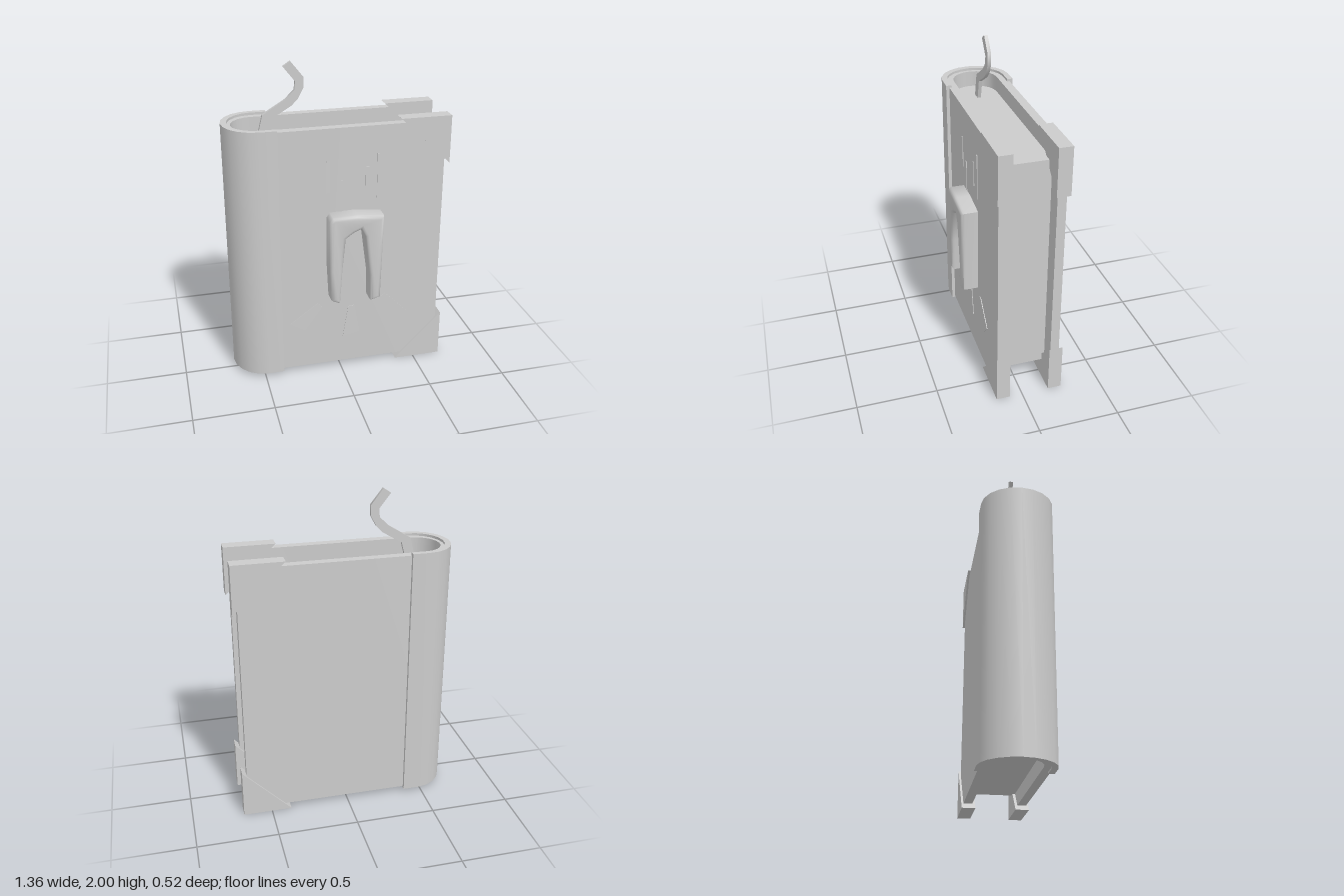
import * as THREE from 'three';
import { toCreasedNormals } from 'three/addons/utils/BufferGeometryUtils.js';

const material = new THREE.MeshStandardMaterial({ color: 0xcccccc });
const midZ = -0.045; // middle of the book's thickness

function addMesh(parent, name, geometry, crease = 0.7) {
  const mesh = new THREE.Mesh(toCreasedNormals(geometry, crease), material);
  mesh.name = name;
  parent.add(mesh);
  return mesh;
}

// Upright plate: outline in x and y, spanning z0 to z1
function plate(points, z0, z1, bevel = 0) {
  const shape = new THREE.Shape(points.map(([x, y]) => new THREE.Vector2(x, y)));
  return new THREE.ExtrudeGeometry(shape, {
    depth: z1 - z0 - bevel, bevelEnabled: bevel > 0, bevelThickness: bevel,
    bevelSize: bevel, bevelOffset: -bevel, bevelSegments: 3,
  }).translate(0, 0, z0);
}

// U-shaped line seen from above, open towards +x, with a rounded left end
function uLine(xOpen, xArc, rx, rz) {
  const points = [new THREE.Vector2(xOpen, rz - midZ)];
  for (let i = 0; i <= 10; i++) {
    const a = Math.PI / 2 + (i / 10) * Math.PI;
    points.push(new THREE.Vector2(xArc + rx * Math.cos(a), rz * Math.sin(a) - midZ));
  }
  points.push(new THREE.Vector2(xOpen, -rz - midZ));
  return points;
}

// Plan outline raised from y0 to y1
function raise(points, y0, y1) {
  return new THREE.ExtrudeGeometry(new THREE.Shape(points), { depth: y1 - y0, bevelEnabled: false })
    .rotateX(-Math.PI / 2).translate(0, y0, 0);
}

export function createModel() {
  const book = new THREE.Group();
  book.name = 'book';

  // Cover, spine wrap and page block
  const coverLine = [...uLine(0.65, -0.48, 0.165, 0.197), ...uLine(0.65, -0.48, 0.14, 0.142).reverse()];
  addMesh(book, 'cover', raise(coverLine, 0.035, 1.64));
  const spineLine = [...uLine(-0.38, -0.48, 0.2, 0.218), ...uLine(-0.38, -0.48, 0.162, 0.182).reverse()];
  addMesh(book, 'spine', raise(spineLine, 0.025, 1.655));
  addMesh(book, 'pages', raise(uLine(0.55, -0.48, 0.141, 0.143), 0.13, 1.54));

  // Triangular corner guards on both boards
  for (const [z0, z1, side] of [[0.08, 0.165, 'front'], [-0.255, -0.17, 'back']]) {
    addMesh(book, side + 'TopCorner', plate([[0.365, 1.67], [0.68, 1.37], [0.68, 1.67]], z0, z1));
    addMesh(book, side + 'BottomCorner', plate([[0.375, 0], [0.68, 0], [0.68, 0.31]], z0, z1));
  }

  // Curled ribbon bookmark
  addMesh(book, 'bookmark', plate([
    [-0.47, 1.53], [-0.43, 1.69], [-0.29, 1.775], [-0.235, 1.83], [-0.23, 1.88], [-0.3, 1.97],
    [-0.255, 2], [-0.18, 1.905], [-0.18, 1.84], [-0.215, 1.775], [-0.255, 1.735],
    [-0.375, 1.665], [-0.41, 1.53],
  ], -0.06, -0.038));

  // Raised tooth with two roots
  addMesh(book, 'tooth', plate([
    [-0.09, 1.08], [-0.07, 1.11], [0.08, 1.115], [0.25, 1.095], [0.245, 0.9], [0.235, 0.535],
    [0.17, 0.52], [0.165, 0.7], [0.13, 0.97], [0.105, 1.02], [0.06, 1.0], [0.01, 0.965],
    [-0.01, 0.75], [-0.025, 0.52], [-0.08, 0.545], [-0.09, 0.75],
  ], 0.14, 0.255, 0.022), 1.0);

  // Thin motion lines above the tooth
  for (const [x, y0, y1] of [[-0.08, 1.24, 1.44], [0, 1.11, 1.31], [0.163, 1.23, 1.385], [0.235, 1.18, 1.465]]) {
    const w = 0.01;
    addMesh(book, 'motionLine', plate([[x - w, y0], [x + w, y0], [x + w, y1], [x - w, y1]], 0.13, 0.156));
  }

  // Flared impact marks below the tooth
  for (const mark of [
    [[-0.33, 0.36], [-0.235, 0.3], [-0.12, 0.46], [-0.15, 0.49]],
    [[0.015, 0.22], [0.125, 0.245], [0.09, 0.445], [0.05, 0.44]],
    [[0.365, 0.28], [0.44, 0.36], [0.295, 0.505], [0.265, 0.485]],
  ]) addMesh(book, 'impactMark', plate(mark, 0.13, 0.156));

  return book;
}
